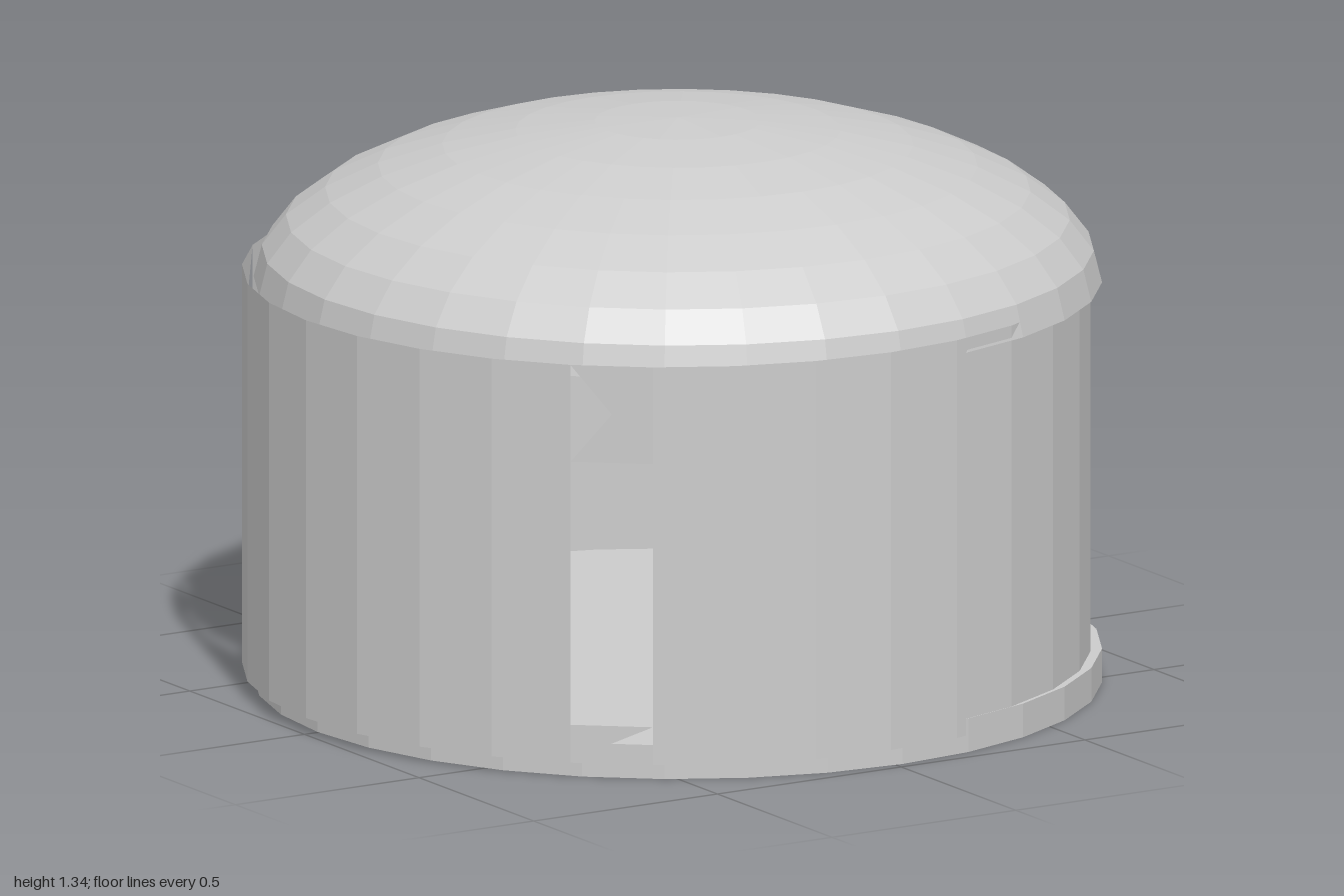
import * as THREE from 'three';
import { mergeGeometries } from 'three/addons/utils/BufferGeometryUtils.js';

const SIDES = 32, R = 0.98, STEP = (Math.PI * 2) / SIDES;
const WALL_BOTTOM = 0.04, WALL_TOP = 0.985, SLOT_BOTTOM = 0.13;

// Flat wall panel from an outline in (u, y); u runs 0..1 left to right seen from outside
function panel(index, outline) {
  const geo = new THREE.ShapeGeometry(new THREE.Shape(outline.map(([u, y]) => new THREE.Vector2(u, y))));
  const left = (index + 1) * STEP, right = index * STEP;
  const p = geo.attributes.position;
  for (let i = 0; i < p.count; i++) {
    const u = p.getX(i);
    p.setXYZ(
      i,
      R * THREE.MathUtils.lerp(Math.cos(left), Math.cos(right), u),
      p.getY(i),
      R * THREE.MathUtils.lerp(Math.sin(left), Math.sin(right), u)
    );
  }
  geo.computeVertexNormals();
  return geo;
}

export function createModel() {
  const group = new THREE.Group();
  const grey = new THREE.MeshStandardMaterial({ color: 0xcccccc, flatShading: true, side: THREE.DoubleSide });
  grey.name = 'grey';

  const add = (name, geo, x, y, z) => {
    const mesh = new THREE.Mesh(geo, grey);
    mesh.name = name;
    mesh.position.set(x, y, z);
    group.add(mesh);
    return mesh;
  };

  // Closed base disc
  add('base', new THREE.CylinderGeometry(R, R, 0.08, SIDES), 0.018, 0.04, -0.003);

  // Thin hollow wall with four slots (panel index -> top of the slot)
  const slots = { 2: 0.78, 11: 0.755, 19: 0.77, 27: 0.765 };
  const panels = [];
  for (let i = 0; i < SIDES; i++) {
    const top = slots[i];
    if (top === undefined) {
      panels.push(panel(i, [[0, WALL_BOTTOM], [1, WALL_BOTTOM], [1, WALL_TOP], [0, WALL_TOP]]));
    } else {
      // Remaining tabs above and below the slot, each with a triangular notch
      panels.push(panel(i, [[0, top], [1, top], [1, WALL_TOP], [0, WALL_TOP], [0.5, (top + WALL_TOP) / 2]]));
      panels.push(panel(i, [[0, WALL_BOTTOM], [1, WALL_BOTTOM], [0.5, 0.088], [1, SLOT_BOTTOM], [0, SLOT_BOTTOM]]));
    }
  }
  add('slottedWall', mergeGeometries(panels), -0.02, 0, 0.007);

  // Shallow open dome lid
  const dome = new THREE.SphereGeometry(R, SIDES, 8, 0, Math.PI * 2, 0, Math.PI / 2);
  dome.scale(1, 0.385 / R, 1);
  add('domeLid', dome, 0.018, 0.95, -0.003);

  return group;
}
